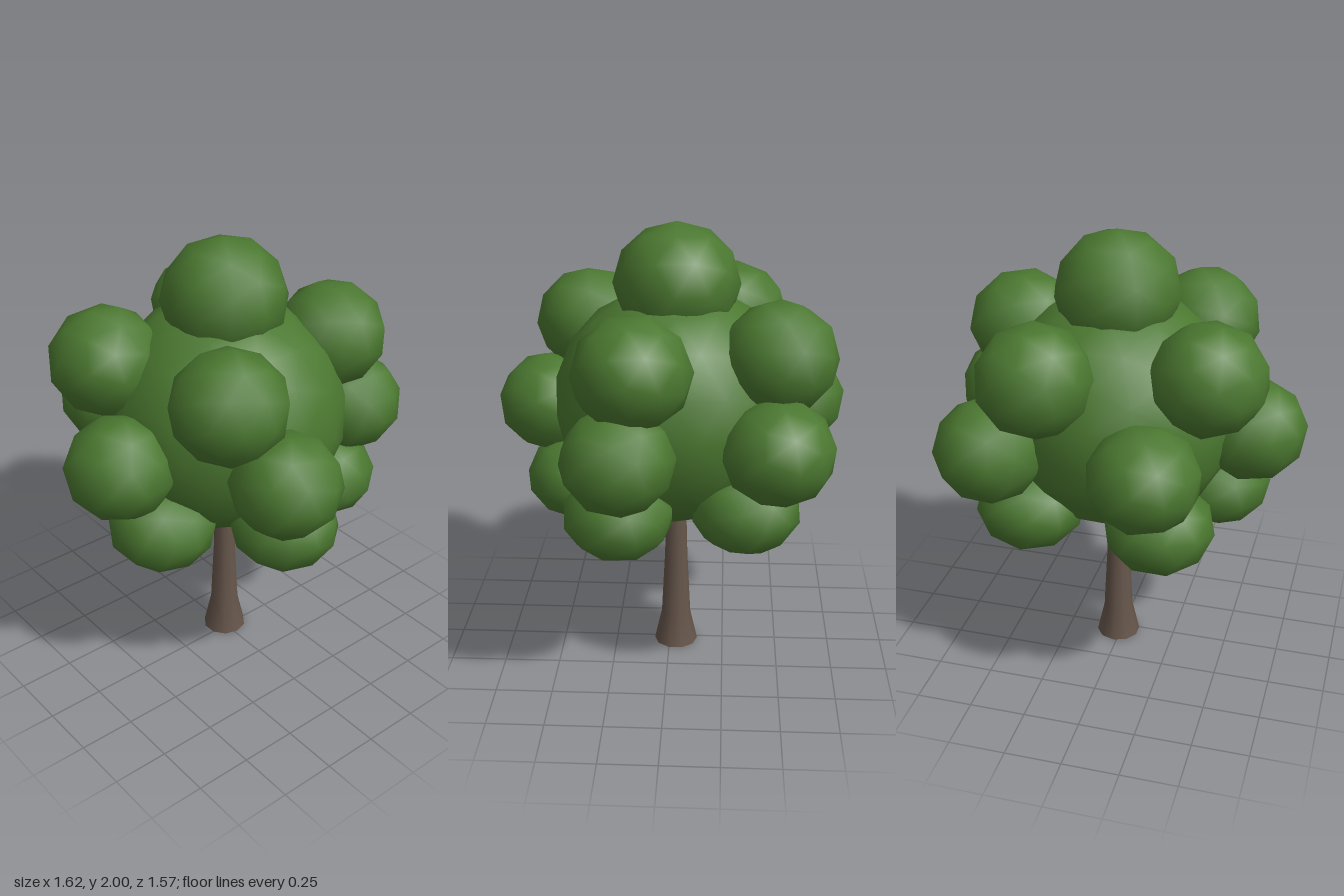
import * as THREE from 'three';

const CX = 0.015, CZ = -0.03; // trunk axis

export function createModel() {
  const leaf = new THREE.MeshStandardMaterial({ color: 0x4b7830 });
  leaf.name = 'leaf green';
  const bark = new THREE.MeshStandardMaterial({ color: 0x66564b, side: THREE.DoubleSide });
  bark.name = 'bark brown';

  const tree = new THREE.Group();
  tree.name = 'tree';

  // Flared trunk, open at the base
  const profile = [[0.1, 0], [0.067, 0.15], [0.052, 0.45], [0.045, 0.72], [0.04, 0.9]]
    .map(([r, y]) => new THREE.Vector2(r, y));
  const trunk = new THREE.Mesh(new THREE.LatheGeometry(profile, 10), bark);
  trunk.name = 'trunk';
  trunk.position.set(CX, 0, CZ);
  tree.add(trunk);

  // Rounded clump of leaves, turned and then squashed vertically
  const crown = new THREE.Group();
  crown.name = 'crown';
  tree.add(crown);
  let turn = 0;
  function clump(name, x, y, z, r, ry, detail = 1) {
    const geo = new THREE.IcosahedronGeometry(1, detail);
    geo.rotateY(turn).rotateX(turn * 0.6);
    geo.scale(r, ry, r);
    turn += 0.9;
    const mesh = new THREE.Mesh(geo, leaf);
    mesh.name = name;
    mesh.position.set(x, y, z);
    crown.add(mesh);
  }

  clump('crownCore', CX, 1.2, CZ, 0.54, 0.53, 2);
  turn = 0;
  clump('crownTop', CX, 1.735, CZ, 0.275, 0.265);

  // Rings of clumps: [x, z] centres
  const rings = [
    { name: 'upperClump', y: 1.485, r: 0.25, ry: 0.24,
      at: [[-0.43, -0.275], [-0.285, 0.37], [0.49, 0.13], [0.245, -0.465]] },
    { name: 'middleClump', y: 1.145, r: 0.24, ry: 0.225,
      at: [[-0.575, 0.01], [-0.13, 0.545], [0.575, 0.185], [0.455, -0.465], [-0.23, -0.55]] },
    { name: 'lowerClump', y: 0.835, r: 0.24, ry: 0.195,
      at: [[-0.42, 0.08], [-0.01, 0.41], [0.41, 0.2], [0.325, -0.34], [-0.26, -0.39]] },
  ];
  for (const { name, y, r, ry, at } of rings) {
    at.forEach(([x, z], i) => clump(name + (i + 1), x, y, z, r, ry));
  }

  return tree;
}
